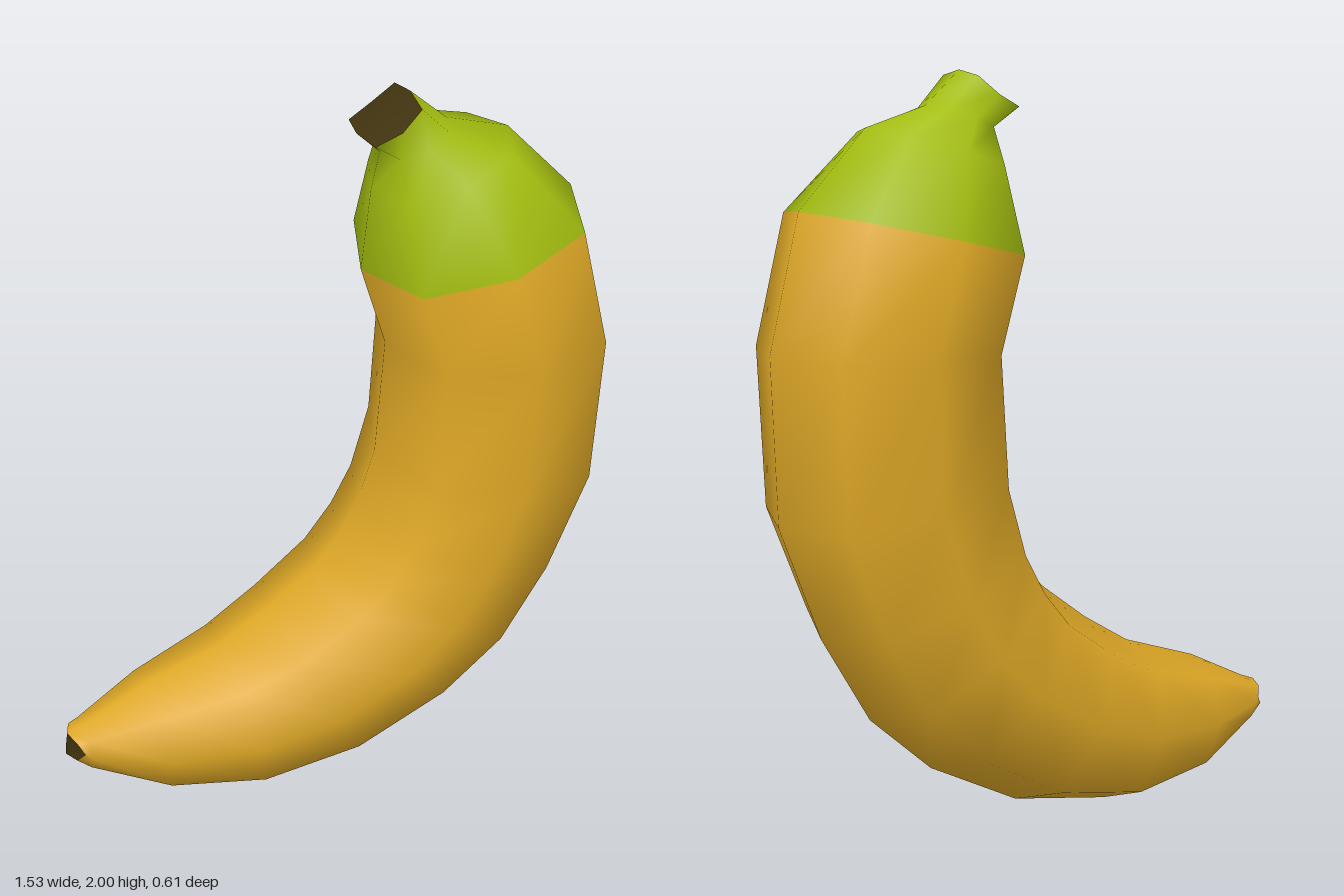
import * as THREE from 'three';

const SIDES = 8;

// Cross-sections from blossom tip to stem:
// inner x, inner y, outer x, outer y, half width, bow of the sides (x, y), corner fullness
const SECTIONS = [
  [-0.76, 0.265, -0.768, 0.195, 0.065, 0.035, 0, 0.75],
  [-0.715, 0.282, -0.712, 0.155, 0.075, 0, 0, 0.73],
  [-0.535, 0.37, -0.5, 0.043, 0.16, 0, 0, 0.73],
  [-0.31, 0.445, -0.235, 0.003, 0.225, 0, 0, 0.73],
  [-0.17, 0.53, 0.055, 0.053, 0.26, 0, 0, 0.73],
  [-0.03, 0.635, 0.32, 0.187, 0.28, 0, 0, 0.73],
  [0.04, 0.72, 0.5, 0.347, 0.286, 0, 0, 0.74],
  [0.09, 0.81, 0.637, 0.58, 0.293, 0, 0, 0.74],
  [0.14, 0.97, 0.75, 0.88, 0.298, 0, 0, 0.75],
  [0.165, 1.3, 0.765, 1.31, 0.304, 0, 0, 0.75],
  [0.095, 1.53, 0.68, 1.66, 0.3, 0, 0, 0.75],
  [0.12, 1.75, 0.49, 1.86, 0.185, 0, 0, 0.73],
  [0.142, 1.85, 0.32, 1.912, 0.1, 0, 0, 0.75],
  [0.08, 1.91, 0.22, 2.0, 0.097, 0.01, -0.016, 0.87],
];
const GREEN_START = 10;

// One octagonal ring, starting at the outer edge and turning towards +z
function ring([ix, iy, ox, oy, width, bowX, bowY, corner]) {
  const points = [];
  for (let k = 0; k < SIDES; k++) {
    const a = (k / SIDES) * Math.PI * 2;
    const scale = k % 2 ? corner / Math.SQRT1_2 : 1;
    const c = Math.cos(a) * scale, s = Math.sin(a) * scale;
    const bow = Math.sin(a) ** 2;
    points.push([
      (ix + ox) / 2 + (c * (ox - ix)) / 2 + bowX * bow,
      (iy + oy) / 2 + (c * (oy - iy)) / 2 + bowY * bow,
      s * width,
    ]);
  }
  return points;
}

function makeGeometry(points, index) {
  const geometry = new THREE.BufferGeometry();
  geometry.setAttribute('position', new THREE.Float32BufferAttribute(points.flat(), 3));
  geometry.setIndex(index);
  geometry.computeVertexNormals();
  return geometry;
}

// Smooth skin through all rings; the two groups share normals at the colour change
function skinGeometry() {
  const index = [];
  for (let i = 0; i < SECTIONS.length - 1; i++) {
    for (let k = 0; k < SIDES; k++) {
      const a = i * SIDES + k, b = i * SIDES + ((k + 1) % SIDES);
      const c = a + SIDES, d = b + SIDES;
      index.push(a, c, b, b, c, d);
    }
  }
  const geometry = makeGeometry(SECTIONS.flatMap(ring), index);
  const split = GREEN_START * SIDES * 6;
  geometry.addGroup(0, split, 0);
  geometry.addGroup(split, index.length - split, 1);
  return geometry;
}

// Fan closing one end of the skin
function capGeometry(section, centre, atStem) {
  const index = [];
  for (let k = 0; k < SIDES; k++) {
    const next = (k + 1) % SIDES;
    index.push(SIDES, atStem ? next : k, atStem ? k : next);
  }
  return makeGeometry([...ring(section), centre], index);
}

export function createModel() {
  const material = (name, color) => {
    const m = new THREE.MeshStandardMaterial({ color });
    m.name = name;
    return m;
  };
  const yellow = material('ripe yellow', 0xdea826);
  const green = material('unripe green', 0xa4be10);
  const brown = material('dark brown', 0x40330f);

  const banana = new THREE.Group();
  banana.name = 'banana';
  const add = (name, geometry, mat) => {
    const mesh = new THREE.Mesh(geometry, mat);
    mesh.name = name;
    banana.add(mesh);
  };

  add('peel', skinGeometry(), [yellow, green]);
  add('blossomTip', capGeometry(SECTIONS[0], [-0.765, 0.23, 0], false), brown);
  add('stemEnd', capGeometry(SECTIONS[SECTIONS.length - 1], [0.15, 1.955, 0], true), brown);
  return banana;
}
